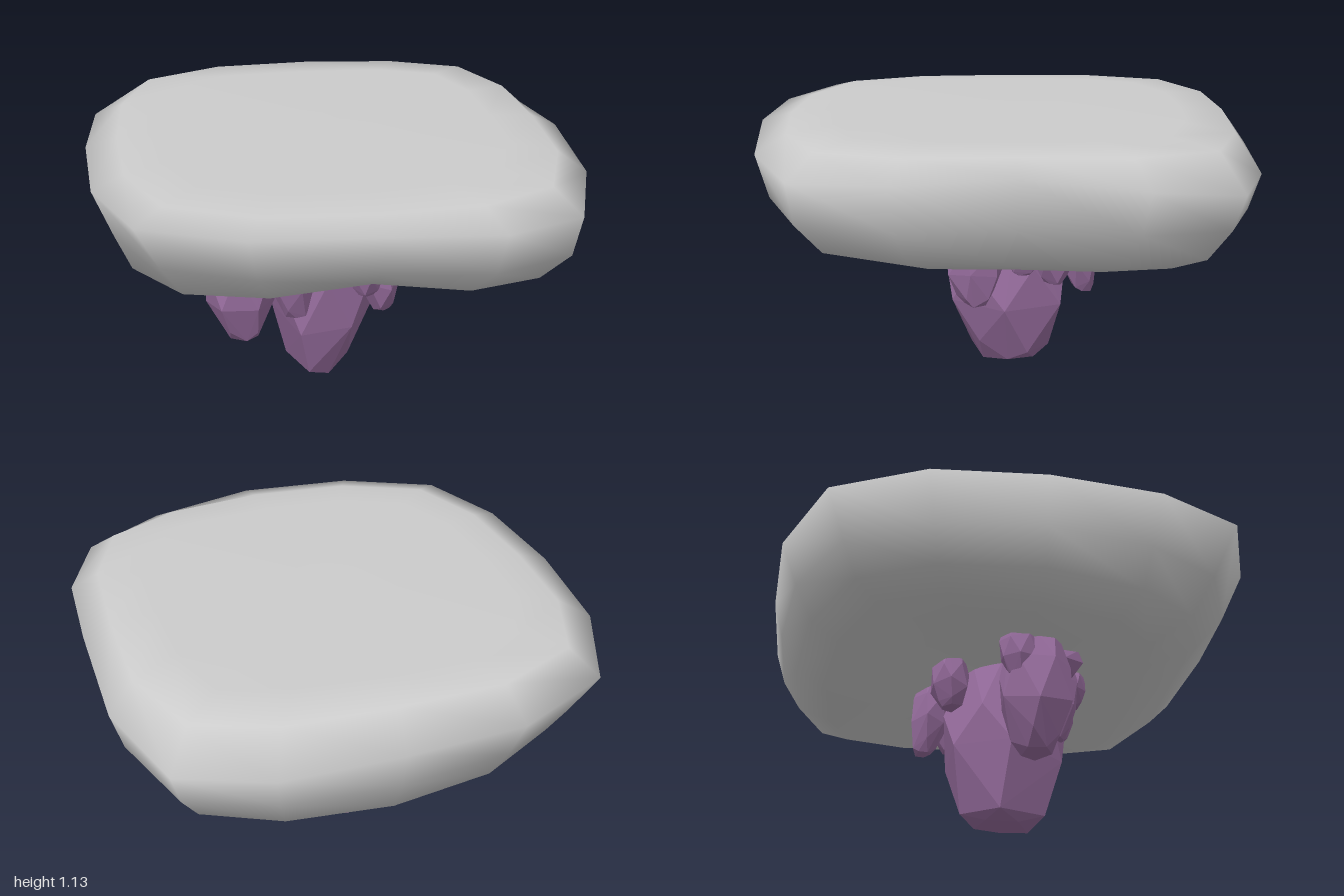
import * as THREE from 'three';
import { ConvexGeometry } from 'three/addons/geometries/ConvexGeometry.js';
import { mergeVertices } from 'three/addons/utils/BufferGeometryUtils.js';

// plan outline of the rock as x, z, clockwise from the back
const OUTLINE = [
  [-0.43, -0.99], [0.03, -1], [0.49, -0.97], [0.83, -0.84],
  [0.97, -0.48], [0.98, -0.02], [0.96, 0.43], [0.82, 0.8],
  [0.49, 0.96], [0.05, 1], [-0.42, 0.96], [-0.8, 0.79],
  [-0.95, 0.43], [-0.98, -0.03], [-0.95, -0.48], [-0.8, -0.84],
];

// rings from top to bottom: [scale, y] towards front, back, left (+x), right (-x), then underside arch
const RINGS = [
  [[0, 1.13], [0, 1.13], [0, 1.13], [0, 1.13], 0],
  [[0.7, 1.13], [0.72, 1.13], [0.7, 1.13], [0.7, 1.13], 0],
  [[0.88, 1.12], [0.9, 1.12], [0.89, 1.12], [0.87, 1.12], 0],
  [[1, 1.09], [1, 0.98], [1, 1.07], [1, 1.08], 0],
  [[0.93, 0.89], [0.96, 0.82], [0.95, 0.87], [0.96, 0.88], 0.02],
  [[0.8, 0.75], [0.89, 0.67], [0.85, 0.71], [0.92, 0.72], 0.06],
  [[0.56, 0.66], [0.76, 0.59], [0.71, 0.65], [0.77, 0.64], 0.08],
  [[0.28, 0.68], [0.38, 0.63], [0.35, 0.67], [0.38, 0.66], 0.06],
  [[0, 0.7], [0, 0.7], [0, 0.7], [0, 0.7], 0],
];

// corner irregularities: change of rim height, side scale and underside height
const CORNERS = {
  frontLeft: [-0.06, 0.04, -0.01],
  frontRight: [0, -0.06, 0],
  backLeft: [-0.06, 0, 0],
  backRight: [0, -0.06, 0.06],
};
// how strongly each ring takes those three changes
const CORNER_SHARE = [
  [0, 0, 0], [0, 0, 0], [0.2, 0, 0], [1, 0, 0], [0.4, 0.8, 0],
  [0, 1, 0.5], [0, 0.8, 1], [0, 0, 0.4], [0, 0, 0],
];

function rockGeometry() {
  const positions = [], index = [], n = OUTLINE.length, last = RINGS.length - 2;
  RINGS.forEach(([front, back, left, right, arch], i) => {
    for (const [x, z] of OUTLINE) {
      const r2 = x * x + z * z, wz = (z * z) / r2;
      const mix = (k) => (z > 0 ? front : back)[k] * wz + (x > 0 ? left : right)[k] * (1 - wz);
      const corner = CORNERS[(z > 0 ? 'front' : 'back') + (x > 0 ? 'Left' : 'Right')];
      const w = ((2 * x * z) / r2) ** 2;
      const [rim, side, under] = corner.map((c, k) => c * CORNER_SHARE[i][k] * w);
      const s = mix(0) + side;
      const bump = z > 0 ? arch * Math.exp(-(((x * s - 0.05) / 0.3) ** 2)) : 0;
      positions.push(x * s, mix(1) + bump + rim + under, z * s);
    }
  });
  for (let i = 0; i <= last; i++) {
    for (let j = 0; j < n; j++) {
      const a = i * n + j, b = i * n + ((j + 1) % n);
      if (i > 0) index.push(a, b, a + n);
      if (i < last) index.push(b, b + n, a + n);
    }
  }
  const shell = new THREE.BufferGeometry();
  shell.setAttribute('position', new THREE.Float32BufferAttribute(positions, 3));
  shell.setIndex(index);
  const geometry = mergeVertices(shell, 1e-4);
  geometry.computeVertexNormals();
  return geometry;
}

function seeded(seed) {
  let s = seed * 7919 + 17;
  return () => ((s = (s * 16807) % 2147483647) / 2147483647);
}

// blunt faceted crystal hanging down: [height fraction, radius fraction, points]
const CRYSTAL = [[0, 0.42, 5], [0.1, 0.66, 5], [0.36, 1, 6], [0.65, 0.98, 6], [1, 0.65, 5]];

// leanX and leanZ shift the top sideways
function crystalGeometry(rx, rz, height, leanX, leanZ, seed) {
  const rand = seeded(seed), points = [];
  CRYSTAL.forEach(([h, r, sides], k) => {
    const turn = rand() * 0.6 + k * 0.45;
    for (let i = 0; i < sides; i++) {
      const a = turn + (i / sides) * Math.PI * 2;
      const rr = r * (0.95 + rand() * 0.12);
      const y = h + (k === 0 ? 0.03 * rand() : k === 4 ? 0 : (rand() - 0.5) * 0.1);
      points.push(new THREE.Vector3(
        Math.cos(a) * rx * rr + leanX * y, y * height, Math.sin(a) * rz * rr + leanZ * y));
    }
  });
  return new ConvexGeometry(points);
}

// x, z, bottom y, top y, radius x, radius z, lean x, lean z
const CRYSTALS = [
  [-0.03, -0.02, 0.0, 0.78, 0.22, 0.27, 0, 0.04],
  [-0.38, 0.05, 0.19, 0.74, 0.15, 0.15, 0, 0],
  [0.21, 0.13, 0.33, 0.74, 0.09, 0.12, -0.02, 0],
  [0.09, -0.33, 0.35, 0.74, 0.1, 0.08, 0, 0.05],
  [-0.17, 0.18, 0.35, 0.76, 0.1, 0.1, 0, 0],
  [0.23, -0.19, 0.43, 0.74, 0.09, 0.09, 0, 0],
  [0.12, 0.26, 0.47, 0.78, 0.08, 0.08, 0, 0],
  [0.31, -0.06, 0.5, 0.74, 0.07, 0.09, 0, 0],
  [-0.02, 0.3, 0.58, 0.78, 0.08, 0.06, 0, 0],
  [-0.3, 0.18, 0.57, 0.74, 0.08, 0.09, 0, 0],
  [-0.14, -0.26, 0.47, 0.74, 0.09, 0.08, 0, 0],
  [-0.45, -0.03, 0.48, 0.74, 0.07, 0.08, 0, 0],
];

export function createModel() {
  const model = new THREE.Group();
  model.name = 'hangingCrystalRock';

  const rock = new THREE.Mesh(rockGeometry(), new THREE.MeshStandardMaterial({ color: 0xcccccc }));
  rock.name = 'rockSlab';
  model.add(rock);

  const purple = new THREE.MeshStandardMaterial({ color: 0x976d9e, flatShading: true });
  const cluster = new THREE.Group();
  cluster.name = 'crystalCluster';
  CRYSTALS.forEach(([x, z, bottom, top, rx, rz, leanX, leanZ], i) => {
    const crystal = new THREE.Mesh(crystalGeometry(rx, rz, top - bottom, leanX, leanZ, i + 3), purple);
    crystal.name = i === 0 ? 'mainCrystal' : 'sideCrystal' + i;
    crystal.position.set(x, bottom, z);
    cluster.add(crystal);
  });
  model.add(cluster);
  return model;
}
